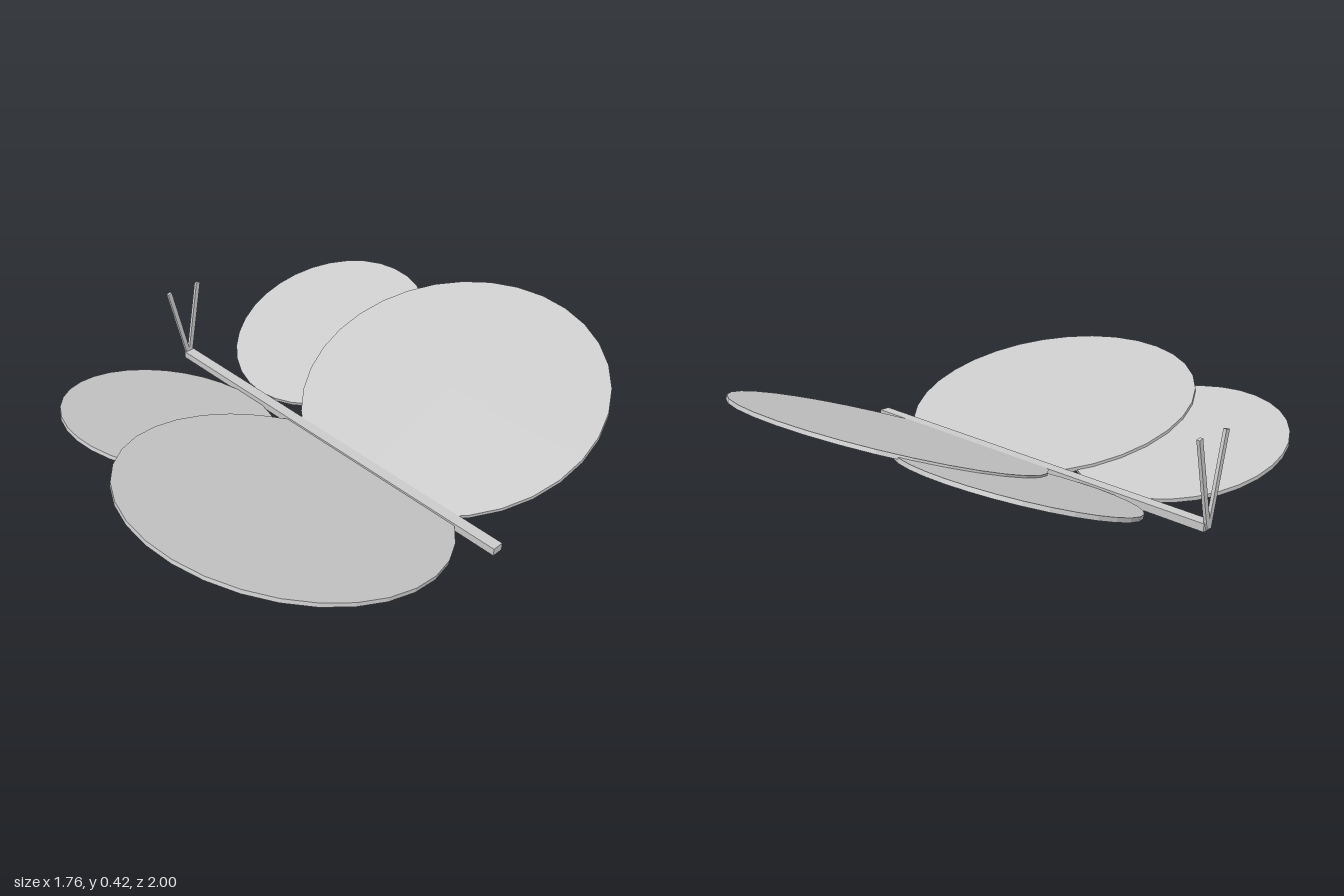
import * as THREE from 'three';

const material = new THREE.MeshStandardMaterial({ color: 0xcccccc, flatShading: true });

export function createModel() {
  const group = new THREE.Group();
  group.name = 'butterfly';

  const add = (name, geometry, position, tilt = 0) => {
    const mesh = new THREE.Mesh(geometry, material);
    mesh.name = name;
    mesh.position.set(...position);
    mesh.rotation.x = tilt;
    group.add(mesh);
  };

  // Thin elliptical disc; rx along the body, rz outwards, tilted up from the body
  const wing = (name, rx, rz, position, tilt) => {
    const disc = new THREE.CylinderGeometry(1, 1, 0.016, 32);
    disc.scale(rx, 1, rz);
    add(name, disc, position, tilt);
  };

  // Body: a long square bar
  add('body', new THREE.BoxGeometry(1.74, 0.03, 0.045), [-0.005, 0.053, -0.003]);

  // Wings: the -z pair is raised more steeply than the +z pair
  const steep = 0.346, shallow = -0.252;
  wing('largeWingBack', 0.622, 0.592, [0.257, 0.21, -0.441], steep);
  wing('smallWingBack', 0.42, 0.424, [-0.417, 0.197, -0.43], steep);
  wing('largeWingFront', 0.622, 0.592, [0.247, 0.156, 0.425], shallow);
  wing('smallWingFront', 0.42, 0.418, [-0.43, 0.142, 0.419], shallow);

  // Antennae: two slim rods spreading from the head end
  for (const side of [1, -1]) {
    const bottom = new THREE.Vector2(0.002 * side - 0.003, 0.045);
    const top = new THREE.Vector2(0.074 * side - 0.003, 0.378);
    const middle = bottom.clone().lerp(top, 0.5);
    const tilt = Math.atan2(top.x - bottom.x, top.y - bottom.y);
    add(side > 0 ? 'antennaFront' : 'antennaBack',
      new THREE.BoxGeometry(0.013, bottom.distanceTo(top), 0.019),
      [-0.875, middle.y, middle.x], tilt);
  }
  return group;
}
